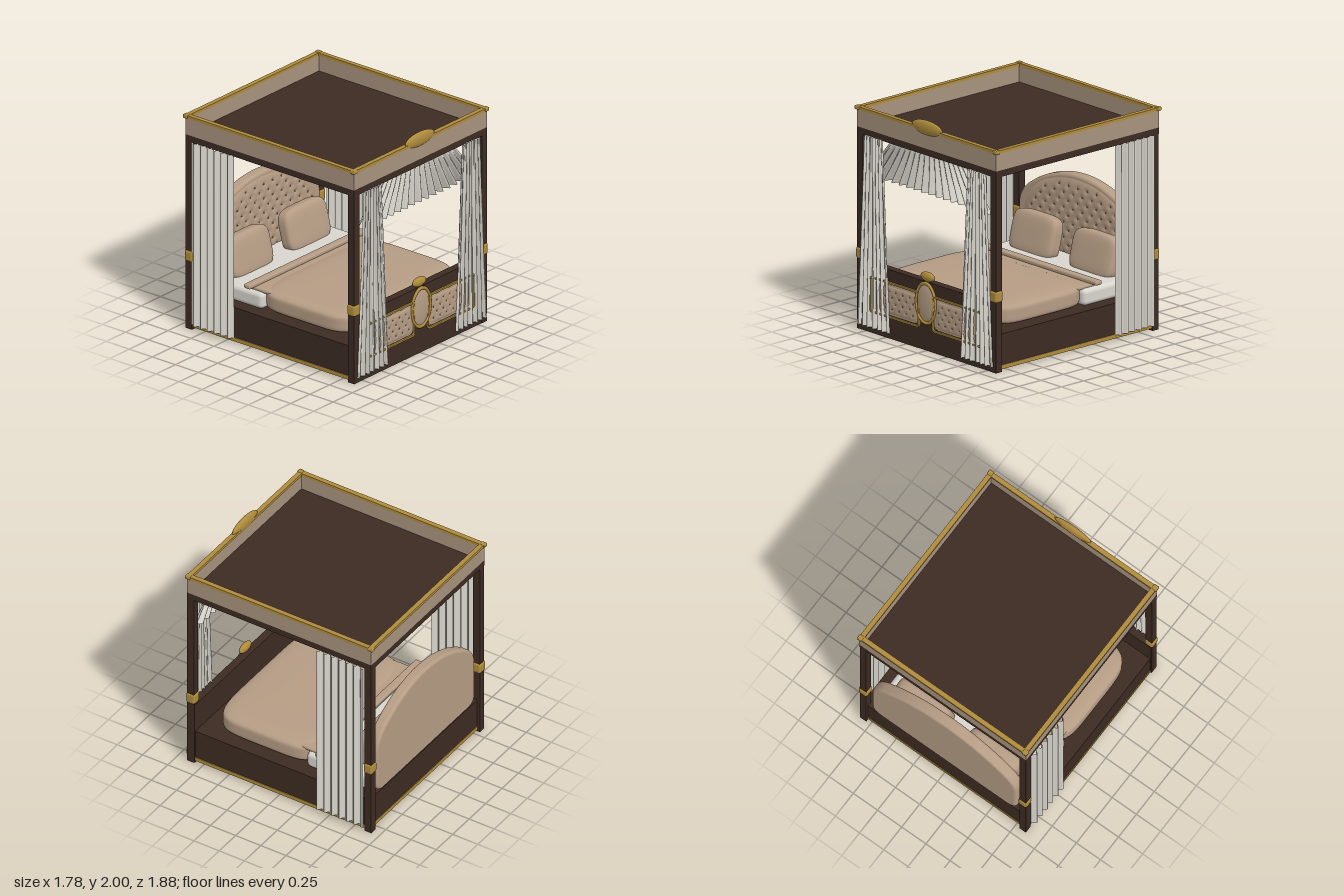
import * as THREE from 'three';
import { mergeVertices } from 'three/addons/utils/BufferGeometryUtils.js';
import { RoundedBoxGeometry } from 'three/addons/geometries/RoundedBoxGeometry.js';

const mat = (name, color, side = THREE.FrontSide) => {
  const m = new THREE.MeshStandardMaterial({ color, side });
  m.name = name;
  return m;
};

export function createModel() {
  const wood = mat('dark wood', 0x3c2b22);
  const gold = mat('gold', 0xaf8b3c);
  const fabric = mat('tan upholstery', 0xb59c84, THREE.DoubleSide);
  const trim = mat('canopy fabric', 0xa8937e);
  const drape = mat('curtain white', 0xd6d3ca, THREE.DoubleSide);
  const linen = mat('bed linen', 0xd8d5ce);
  const stud = mat('button brown', 0x8a745f);

  const bed = new THREE.Group();
  bed.name = 'canopyBed';
  const add = (name, geo, material, x = 0, y = 0, z = 0) => {
    const m = new THREE.Mesh(geo, material);
    m.name = name;
    m.position.set(x, y, z);
    bed.add(m);
    return m;
  };
  // box given by its limits on each axis
  const box = (name, material, x0, x1, y0, y1, z0, z1, r = 0) => {
    const s = [x1 - x0, y1 - y0, z1 - z0];
    const geo = r ? new RoundedBoxGeometry(...s, 4, r) : new THREE.BoxGeometry(...s);
    return add(name, geo, material, (x0 + x1) / 2, (y0 + y1) / 2, (z0 + z1) / 2);
  };
  // parametric sheet: fn(u, v) gives [x, y, z], v = 1 at the top
  const sheet = (nu, nv, fn) => {
    const geo = new THREE.PlaneGeometry(1, 1, nu, nv);
    const p = geo.attributes.position, uv = geo.attributes.uv;
    for (let i = 0; i < p.count; i++) p.setXYZ(i, ...fn(uv.getX(i), uv.getY(i)));
    geo.computeVertexNormals();
    return geo;
  };
  // soft cushion: a cube pulled onto a superellipsoid
  const cushion = (w, h, d, n) => {
    let geo = new THREE.BoxGeometry(2, 2, 2, 24, 24, 24);
    geo.deleteAttribute('uv');
    geo.deleteAttribute('normal');
    geo = mergeVertices(geo);
    const p = geo.attributes.position, v = new THREE.Vector3();
    for (let i = 0; i < p.count; i++) {
      v.fromBufferAttribute(p, i);
      const k = (Math.abs(v.x) ** n + Math.abs(v.y) ** n + Math.abs(v.z) ** n) ** (-1 / n);
      p.setXYZ(i, v.x * k * w / 2, v.y * k * h / 2, v.z * k * d / 2);
    }
    geo.computeVertexNormals();
    return geo;
  };
  const ellipsoid = (name, x, y, z, rx, ry, rz) =>
    add(name, new THREE.SphereGeometry(1, 40, 24), gold, x, y, z).scale.set(rx, ry, rz);
  const roundRect = (S, w, h, r) => {
    const s = new S(), x = w / 2, y = h / 2;
    s.absarc(x - r, y - r, r, 0, Math.PI / 2);
    s.absarc(-x + r, y - r, r, Math.PI / 2, Math.PI);
    s.absarc(-x + r, -y + r, r, Math.PI, Math.PI * 1.5);
    s.absarc(x - r, -y + r, r, Math.PI * 1.5, Math.PI * 2);
    s.closePath();
    return s;
  };
  // tufted surface with dimples and buttons; top(x) is its height at x
  const tufted = (name, w, top, depth, dx, dy, x, y, z, nu, nv) => {
    const pins = [];
    for (let r = 1; r * dy < top(0) - dy * 0.4; r++)
      for (let c = -12; c <= 12; c++) {
        const px = (c + (r % 2) / 2) * dx, py = r * dy;
        if (Math.abs(px) < w / 2 - dx * 0.4 && py < top(px) - dy * 0.6) pins.push([px, py]);
      }
    const height = (px, py) => {
      const a = Math.abs(px * 2 / w), b = Math.abs(py / top(px) * 2 - 1);
      let dent = 0;
      for (const [qx, qy] of pins)
        dent = Math.max(dent, Math.exp(-((px - qx) ** 2 + (py - qy) ** 2) / (dy * dy * 0.09)));
      return depth * (1 - a ** 8) * (1 - b ** 8) * (1 - 0.55 * dent) - 0.004;
    };
    add(name, sheet(nu, nv, (u, v) => {
      const px = (u - 0.5) * w, py = v * top(px);
      return [px, py, height(px, py)];
    }), fabric, x, y, z);
    const buttons = new THREE.InstancedMesh(new THREE.SphereGeometry(1, 8, 6), stud, 0);
    const geo = buttons.geometry.scale(dy * 0.12, dy * 0.12, dy * 0.08);
    for (const [px, py] of pins)
      add(name + 'Button', geo, stud, x + px, y + py, z + height(px, py) + 0.002);
  };

  // base and platform
  box('goldPlinth', gold, -0.85, 0.85, 0.02, 0.055, -0.905, 0.84);
  box('platform', wood, -0.845, 0.845, 0.055, 0.325, -0.9, 0.84);

  // posts with gold collars
  for (const x of [-0.825, 0.825])
    for (const z of [-0.893, 0.867]) {
      box('post', wood, x - 0.033, x + 0.033, 0, 1.72, z - 0.033, z + 0.033);
      box('postCollar', gold, x - 0.043, x + 0.043, 0.61, 0.71, z - 0.043, z + 0.043, 0.02);
    }

  // canopy: beam, ceiling, fabric walls, gold rim
  const ring = (name, material, x, z0, z1, t, y0, y1) => {
    for (const s of [-1, 1])
      box(name, material, s * (x - t / 2) - t / 2, s * (x - t / 2) + t / 2, y0, y1, z0, z1);
    box(name, material, -x + t, x - t, y0, y1, z0, z0 + t);
    box(name, material, -x + t, x - t, y0, y1, z1 - t, z1);
  };
  ring('canopyBeam', wood, 0.86, -0.927, 0.9, 0.07, 1.7, 1.757);
  box('canopyCeiling', wood, -0.835, 0.835, 1.73, 1.77, -0.905, 0.875);
  ring('canopyWall', trim, 0.86, -0.927, 0.9, 0.03, 1.757, 1.91);
  ring('canopyRim', gold, 0.868, -0.938, 0.906, 0.042, 1.908, 1.934);
  for (const x of [-0.852, 0.852])
    for (const z of [-0.922, 0.89])
      box('rimCorner', gold, x - 0.024, x + 0.024, 1.905, 1.938, z - 0.024, z + 0.024, 0.008);
  ellipsoid('canopyCrest', 0, 1.937, 0.89, 0.187, 0.063, 0.03);

  // headboard with an arched top
  const R = 1.04, arch = x => 1.15 - R + Math.sqrt(R * R - x * x);
  const hs = new THREE.Shape();
  hs.moveTo(-0.64, 0.36);
  hs.lineTo(0.64, 0.36);
  hs.quadraticCurveTo(0.72, 0.36, 0.72, 0.44);
  hs.lineTo(0.72, 0.74);
  hs.quadraticCurveTo(0.72, 0.87, 0.6, arch(0.6) - 0.015);
  for (let i = 1; i < 24; i++) hs.lineTo(0.6 - i * 0.05, arch(0.6 - i * 0.05) - 0.015);
  hs.lineTo(-0.6, arch(0.6) - 0.015);
  hs.quadraticCurveTo(-0.72, 0.87, -0.72, 0.74);
  hs.lineTo(-0.72, 0.44);
  hs.quadraticCurveTo(-0.72, 0.36, -0.64, 0.36);
  add('headboard', new THREE.ExtrudeGeometry(hs, {
    depth: 0.05, bevelThickness: 0.027, bevelSize: 0.027, bevelSegments: 6, curveSegments: 12,
  }), fabric, 0, 0, -0.885);
  tufted('headboardTufting', 1.36, x => arch(x) - 0.42 - 0.1 * Math.abs(x / 0.68) ** 8,
    0.025, 0.115, 0.065, 0, 0.4, -0.808, 110, 70);

  // mattress, duvet, folded edge, pillows
  box('mattress', linen, -0.74, 0.74, 0.32, 0.465, -0.83, -0.2, 0.04);
  add('duvet', cushion(1.48, 0.2, 1.0, 6), fabric, 0, 0.41, 0.23);
  box('duvetTurnback', fabric, -0.7, 0.7, 0.455, 0.49, -0.36, 0, 0.015);
  box('duvetFold', fabric, -0.77, 0.77, 0.485, 0.525, -0.375, -0.305, 0.015);
  for (const s of [-1, 1])
    add('pillow', cushion(0.53, 0.38, 0.15, 4.5), fabric, s * 0.37, 0.6, -0.67).rotation.x = -0.25;

  // footboard with framed tufted panels
  box('footboard', wood, -0.855, 0.855, 0, 0.6, 0.828, 0.898);
  for (const s of [-1, 1]) {
    const frame = roundRect(THREE.Shape, 0.61, 0.31, 0.03);
    frame.holes.push(roundRect(THREE.Path, 0.586, 0.286, 0.022));
    add('footPanelFrame', new THREE.ExtrudeGeometry(frame, {
      depth: 0.016, bevelThickness: 0.003, bevelSize: 0.002, bevelSegments: 2,
    }), gold, s * 0.385, 0.34, 0.896);
    add('footPanelPad', new THREE.ExtrudeGeometry(roundRect(THREE.Shape, 0.53, 0.25, 0.05), {
      depth: 0.002, bevelThickness: 0.006, bevelSize: 0.01, bevelSegments: 4,
    }), fabric, s * 0.37, 0.34, 0.897);
    tufted('footPanelTufting', 0.52, () => 0.25, 0.014, 0.085, 0.05, s * 0.37, 0.215, 0.905, 64, 32);
  }
  // oval medallion and crest
  add('medallionPad', new THREE.SphereGeometry(1, 40, 20), fabric, 0, 0.415, 0.9).scale.set(0.11, 0.17, 0.025);
  add('medallionRing', new THREE.TorusGeometry(1, 0.09, 12, 56), gold, 0, 0.415, 0.908).scale.set(0.12, 0.173, 0.14);
  ellipsoid('footboardCrest', 0, 0.64, 0.885, 0.083, 0.042, 0.03);

  // gathered front curtains, flaring downwards
  const lerp = THREE.MathUtils.lerp;
  for (const s of [-1, 1])
    add('frontCurtain', sheet(120, 24, (u, v) => {
      const t = 1 - v, a = u * Math.PI * 2;
      const x = lerp(lerp(0.53, 0.435, t), lerp(0.745, 0.835, t), u);
      const z = 0.908 + lerp(0.016, 0.024, t) * Math.sin(a * 6.5) + 0.006 * Math.sin(a * 15 + t * 2);
      return [s * x, lerp(0.05, 1.71, v), z];
    }), drape);
  // straight rear side curtains
  for (const x of [-0.872, 0.872])
    add('sideCurtain', sheet(120, 4, (u, v) => [
      x + 0.019 * Math.sin(u * Math.PI * 12.4 + 0.6),
      lerp(0.05, 1.71, v),
      lerp(-0.86, -0.405, u),
    ]), drape);
  // pleated fan valance between the front posts
  add('frontValance', sheet(200, 14, (u, v) => {
    const t = 1 - v, a = u * 2 - 1;
    const z = 0.867 + lerp(0.006, 0.03, t) * Math.sin(a * Math.PI * 17);
    return [a * lerp(0.47, 0.78, t), lerp(1.36, 1.71, v), z];
  }), drape);

  return bed;
}
